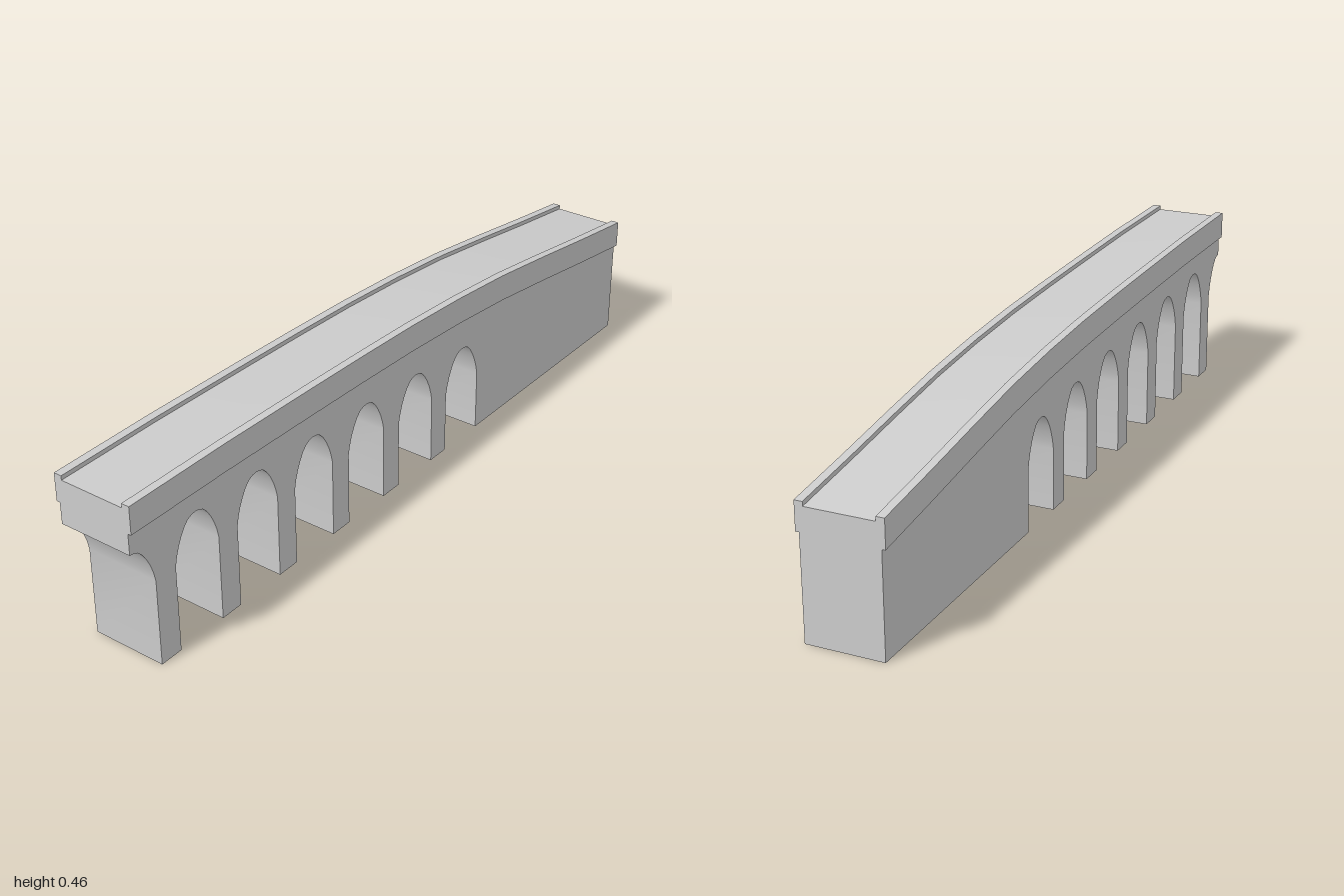
import * as THREE from 'three';
import { toCreasedNormals } from 'three/addons/utils/BufferGeometryUtils.js';

const material = new THREE.MeshStandardMaterial({ color: 0xcccccc });

// Crest line of the parapets: level at the left end, falling to the abutment
const crest = [
  [-1, 0.462], [-0.7, 0.461], [-0.4, 0.455], [-0.2, 0.45], [0, 0.443],
  [0.2, 0.431], [0.4, 0.413], [0.6, 0.387], [0.8, 0.359], [1, 0.333],
];
const PARAPET_HEIGHT = 0.072, DECK_DROP = 0.011;

// Half arch from springing to crown, in units of half width and rise
const halfArch = [[1, 0], [0.93, 0.22], [0.82, 0.44], [0.68, 0.64], [0.52, 0.81], [0.35, 0.93], [0.17, 0.985], [0, 1]];
const HALF_WIDTH = 0.071, RISE = 0.107, SPACING = 0.2055;
const crowns = [0.335, 0.333, 0.326, 0.315, 0.303, 0.288, 0.27];

function extrudeAcross(name, points, z0, z1) {
  const shape = new THREE.Shape(points.map(([x, y]) => new THREE.Vector2(x, y)));
  const geometry = new THREE.ExtrudeGeometry(shape, { depth: z1 - z0, bevelEnabled: false });
  geometry.translate(0, 0, z0);
  const mesh = new THREE.Mesh(toCreasedNormals(geometry, 0.5), material);
  mesh.name = name;
  return mesh;
}

// Underside of the viaduct, from the half arch at the left end to the abutment
function archLine() {
  const line = [];
  crowns.forEach((crown, i) => {
    const cx = -1 + i * SPACING, spring = crown - RISE;
    const at = (side) => ([u, v]) => [cx + side * u * HALF_WIDTH, spring + v * RISE];
    if (i > 0) line.push([cx - HALF_WIDTH, 0], ...halfArch.slice(0, -1).map(at(-1)));
    line.push(...[...halfArch].reverse().map(at(1)), [cx + HALF_WIDTH, 0]);
  });
  return line;
}

export function createModel() {
  const group = new THREE.Group();
  group.name = 'archedViaduct';

  // Piers, arches, solid abutment and road deck in one body
  const deck = crest.map(([x, y]) => [x, y - DECK_DROP]).reverse();
  group.add(extrudeAcross('archedBody', [...archLine(), [1, 0], ...deck], -0.098, 0.098));

  // Parapets overhanging both faces
  const base = crest.map(([x, y]) => [x, y - PARAPET_HEIGHT]);
  const band = [...base, ...[...crest].reverse()];
  group.add(extrudeAcross('frontParapet', band, 0.086, 0.107));
  group.add(extrudeAcross('backParapet', band, -0.107, -0.086));

  return group;
}
